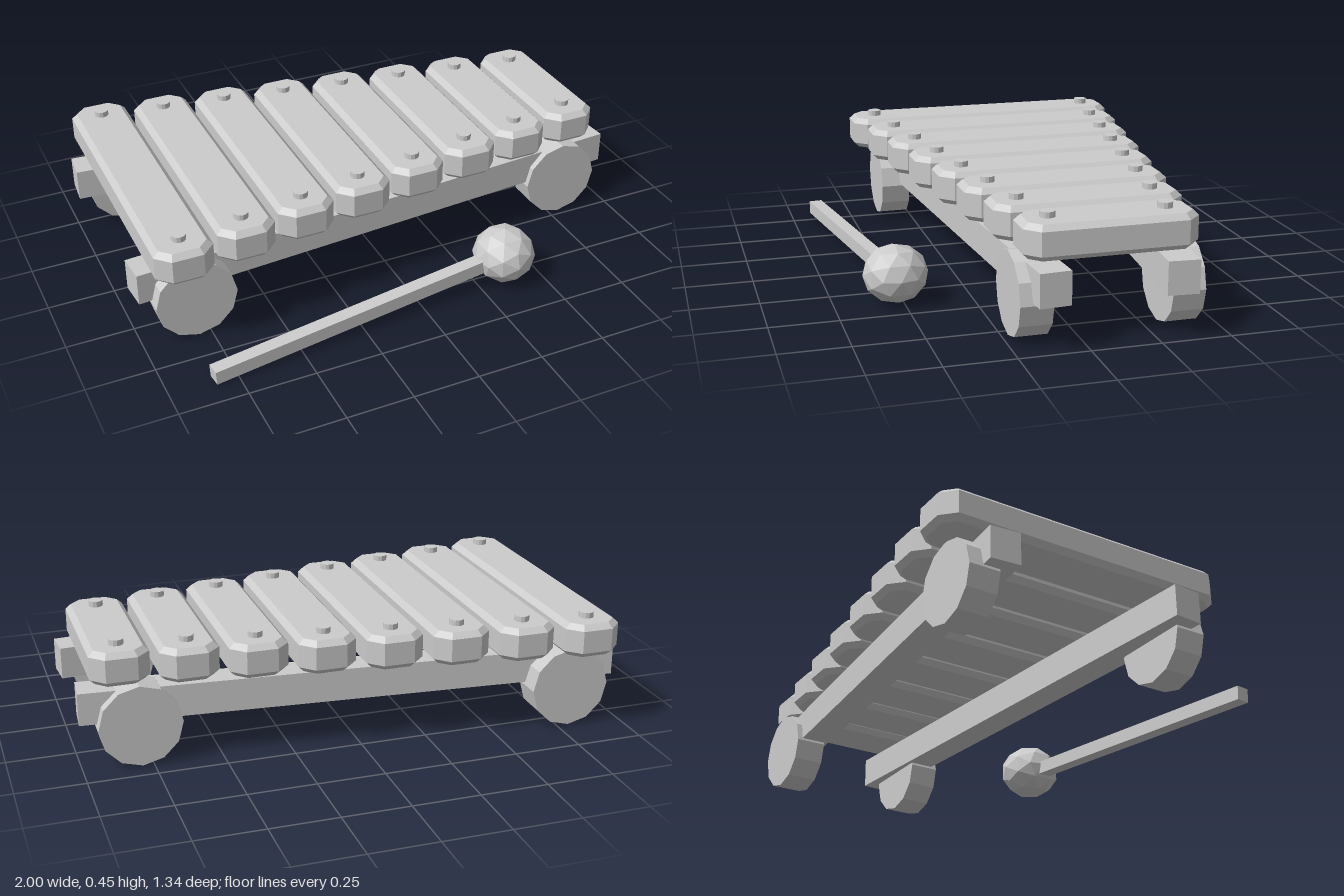
import * as THREE from 'three';

const MID_Z = -0.1; // centre line of the instrument

export function createModel() {
  const model = new THREE.Group();
  model.name = 'xylophone';
  const grey = new THREE.MeshStandardMaterial({ color: 0xcccccc, flatShading: true });
  grey.name = 'light grey';

  const add = (name, geometry, x, y, z, parent = model) => {
    const mesh = new THREE.Mesh(geometry, grey);
    mesh.name = name;
    mesh.position.set(x, y, z);
    parent.add(mesh);
    return mesh;
  };

  // Bar: cut-corner plan with a bevel along the top and bottom edges
  const barGeometry = (width, length, height) => {
    const w = width / 2, l = length / 2, cut = 0.05, bevel = 0.02;
    const plan = new THREE.Shape([
      [w, -l + cut], [w, l - cut], [w - cut, l], [-w + cut, l],
      [-w, l - cut], [-w, -l + cut], [-w + cut, -l], [w - cut, -l],
    ].map(([x, y]) => new THREE.Vector2(x, y)));
    return new THREE.ExtrudeGeometry(plan, {
      depth: height - 2 * bevel, bevelEnabled: true, bevelSegments: 1,
      bevelSize: bevel, bevelThickness: bevel, bevelOffset: -bevel,
    }).translate(0, 0, bevel).rotateX(-Math.PI / 2);
  };

  // Eight bars, shortening towards +x, each held by two pegs
  const pegGeometry = new THREE.CylinderGeometry(0.027, 0.027, 0.06, 12);
  for (let i = 0; i < 8; i++) {
    const x = -0.843 + i * 0.241;
    const half = 0.571 - i * 0.0377;
    add('bar', barGeometry(0.214, half * 2, 0.125), x, 0.303, MID_Z);
    for (const side of [-1, 1]) {
      add('peg', pegGeometry, x, 0.419, MID_Z + side * (half - 0.1));
    }
  }

  // Converging rails and the wheels on their outer sides
  const railGeometry = new THREE.BoxGeometry(1.997, 0.12, 0.112);
  const wheelGeometry = new THREE.CylinderGeometry(0.151, 0.151, 0.117, 12).rotateX(Math.PI / 2);
  for (const side of [-1, 1]) {
    const rail = add('rail', railGeometry, 0, 0.225, MID_Z + side * 0.298);
    rail.rotation.y = side * 0.076;
    add('wheel', wheelGeometry, -0.795, 0.155, MID_Z + side * 0.421);
    add('wheel', wheelGeometry, 0.79, 0.155, MID_Z + side * 0.268);
  }

  // Mallet lying in front: square stick and faceted head
  const mallet = new THREE.Group();
  mallet.name = 'mallet';
  model.add(mallet);
  const tip = new THREE.Vector3(-0.838, 0.034, 0.643);
  const head = new THREE.Vector3(0.361, 0.111, 0.525);
  const end = new THREE.Vector3(0.361, 0.1, 0.522);
  const centre = tip.clone().add(end).multiplyScalar(0.5);
  const stick = add('malletStick', new THREE.BoxGeometry(0.052, 0.052, tip.distanceTo(end)),
    centre.x, centre.y, centre.z, mallet);
  stick.lookAt(end);
  const ball = add('malletHead', new THREE.IcosahedronGeometry(0.12, 1), head.x, head.y, head.z, mallet);
  ball.scale.set(0.97, 0.9, 1);

  return model;
}
